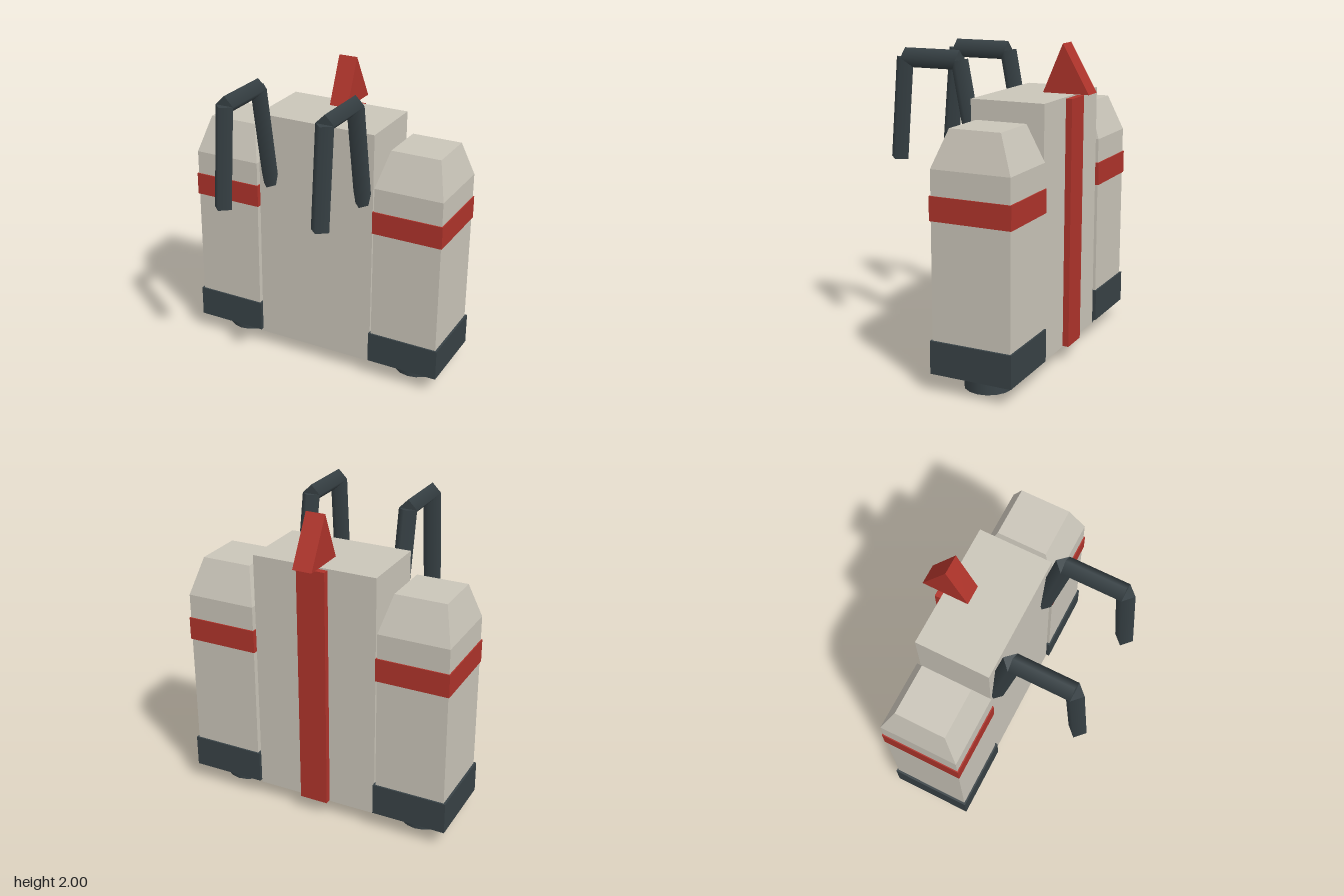
import * as THREE from 'three';

const shell = new THREE.MeshStandardMaterial({ color: 0xcbc6ba });
const red = new THREE.MeshStandardMaterial({ color: 0xb0342b });
const dark = new THREE.MeshStandardMaterial({ color: 0x384246 });
const MID_Z = -0.235;

function add(parent, name, geometry, material, x, y, z) {
  const mesh = new THREE.Mesh(geometry, material);
  mesh.name = name;
  mesh.position.set(x, y, z);
  parent.add(mesh);
  return mesh;
}

// Box given by its lower and upper height
function box(parent, name, material, w, d, y0, y1, x = 0, z = MID_Z) {
  return add(parent, name, new THREE.BoxGeometry(w, y1 - y0, d), material, x, (y0 + y1) / 2, z);
}

// Box whose top face is narrowed to a given size
function taperedBox(w, d, topW, topD, h) {
  const geo = new THREE.BoxGeometry(w, h, d);
  const p = geo.attributes.position;
  for (let i = 0; i < p.count; i++) {
    if (p.getY(i) > 0) p.setXYZ(i, p.getX(i) * topW / w, p.getY(i), p.getZ(i) * topD / d);
  }
  const flat = geo.toNonIndexed();
  flat.computeVertexNormals();
  return flat;
}

// Four-sided rod between two [z, y] points
function rod(parent, name, [z0, y0], [z1, y1]) {
  const dz = z1 - z0, dy = y1 - y0;
  const geo = new THREE.CylinderGeometry(0.06, 0.06, Math.hypot(dz, dy), 4);
  const mesh = add(parent, name, geo, dark, 0, (y0 + y1) / 2, (z0 + z1) / 2);
  mesh.rotation.x = Math.atan2(dz, dy);
}

export function createModel() {
  const model = new THREE.Group();
  model.name = 'backpack';

  // Central pack with its rear stripe
  box(model, 'mainBody', shell, 0.81, 0.48, 0.095, 1.685);
  box(model, 'backStripe', red, 0.186, 0.05, 0.1, 1.675, 0, -0.49);

  // Triangular fin above the pack, extruded across x
  const triangle = new THREE.Shape([
    new THREE.Vector2(0.31, 1.7), new THREE.Vector2(0.61, 1.7), new THREE.Vector2(0.437, 2.0),
  ]);
  const finGeo = new THREE.ExtrudeGeometry(triangle, { depth: 0.126, bevelEnabled: false });
  finGeo.translate(0, 0, -0.063).rotateY(Math.PI / 2);
  add(model, 'topFin', finGeo, red, 0, 0, 0);

  for (const side of [1, -1]) {
    const label = side > 0 ? 'left' : 'right';

    // Side booster
    const booster = new THREE.Group();
    booster.name = label + 'Booster';
    booster.position.set(side * 0.645, 0, MID_Z);
    box(booster, 'tank', shell, 0.452, 0.506, 0.2, 1.345, 0, 0);
    add(booster, 'taperedCap', taperedBox(0.452, 0.506, 0.326, 0.326, 0.23), shell, 0, 1.46, 0);
    box(booster, 'band', red, 0.466, 0.522, 1.043, 1.19, 0, 0);
    box(booster, 'base', dark, 0.48, 0.528, 0.115, 0.32, 0, 0);
    add(booster, 'nozzle', new THREE.CylinderGeometry(0.148, 0.148, 0.14, 16), dark, 0, 0.07, 0);
    model.add(booster);

    // Shoulder strap
    const strap = new THREE.Group();
    strap.name = label + 'Strap';
    strap.position.x = side * 0.33;
    rod(strap, 'strapBack', [-0.01, 1.22], [0.12, 1.9]);
    rod(strap, 'strapTop', [0.12, 1.9], [0.5, 1.9]);
    rod(strap, 'strapFront', [0.552, 1.268], [0.5, 1.9]);
    model.add(strap);
  }
  return model;
}
